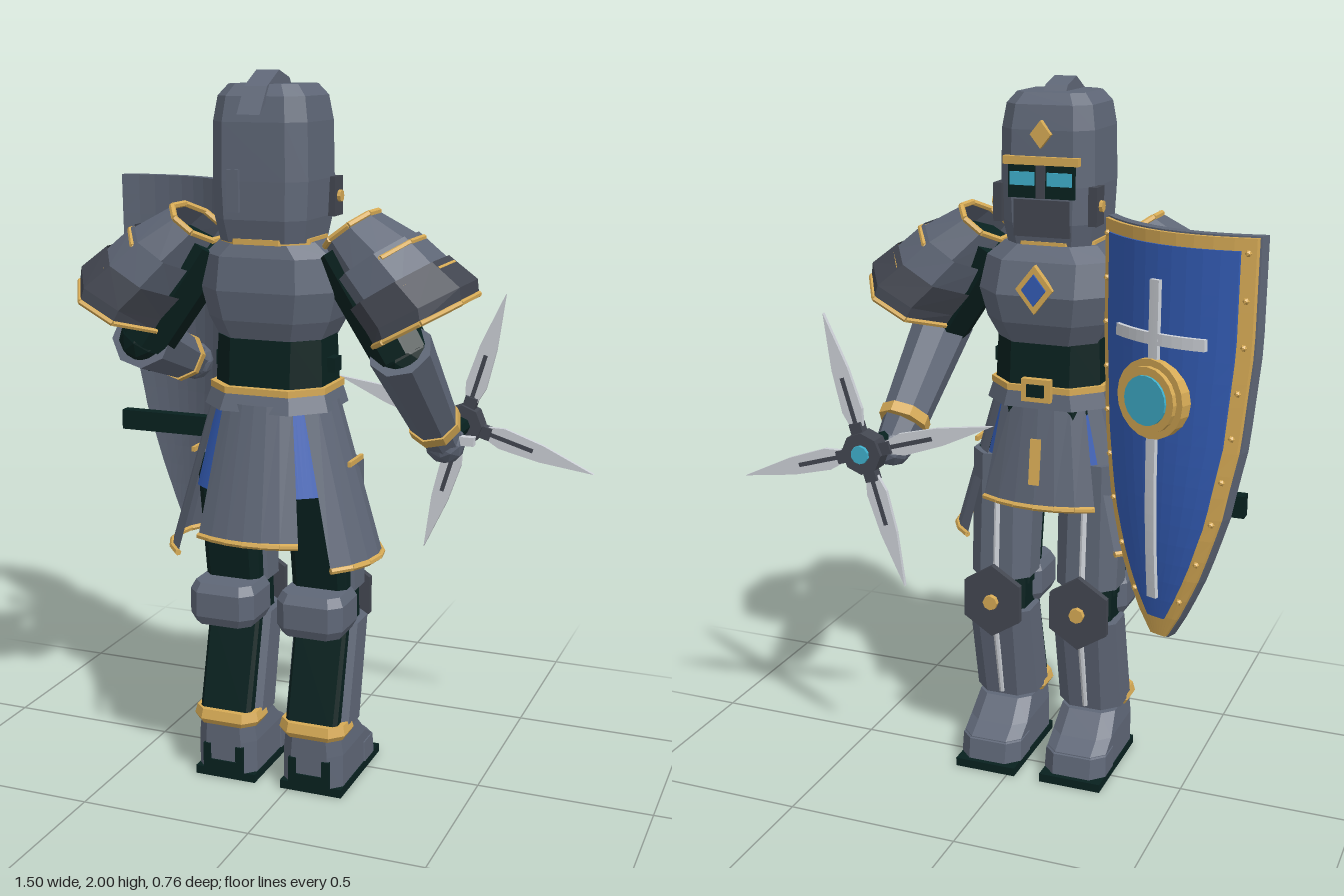
import * as THREE from 'three';

const mat = (name, color) => {
  const m = new THREE.MeshStandardMaterial({ color, side: THREE.DoubleSide });
  m.name = name; m.flatShading = true;
  return m;
};
const V = (x, y, z) => new THREE.Vector3(x, y, z);

export function createModel() {
  const steel = mat('steel', 0x5f6777), darkSteel = mat('darkSteel', 0x434751), cloth = mat('darkCloth', 0x08211f);
  const gold = mat('gold', 0xd6aa55), blue = mat('blue', 0x335cb5), teal = mat('teal', 0x3fb0cc), silver = mat('silver', 0xcdd1d7);
  const model = new THREE.Group();
  const body = new THREE.Group();
  body.name = 'body';
  body.position.x = -0.0625;
  model.add(body);

  const add = (parent, name, geo, m, x = 0, y = 0, z = 0) => {
    const mesh = new THREE.Mesh(geo, m);
    mesh.name = name;
    mesh.position.set(x, y, z);
    parent.add(mesh);
    return mesh;
  };
  const box = (p, name, m, w, h, d, x, y, z) => add(p, name, new THREE.BoxGeometry(w, h, d), m, x, y, z);
  const build = (tris) => {
    const g = new THREE.BufferGeometry().setFromPoints(tris);
    g.computeVertexNormals();
    return g;
  };
  // chamfered-rectangle rings [y, zCentre, width, depth] stacked upwards
  const loft = (sections, ch = 0.25) => {
    const rings = sections.map(([y, z, w, d]) => {
      const a = w / 2, b = d / 2, c = ch * Math.min(w, d);
      return [[a, c - b], [a, b - c], [a - c, b], [c - a, b], [-a, b - c], [-a, c - b], [c - a, -b], [a - c, -b]]
        .map(([px, pz]) => V(px, y, z + pz));
    });
    const t = [];
    for (let i = 0; i < rings.length - 1; i++) for (let j = 0; j < 8; j++) {
      const k = (j + 1) % 8, lo = rings[i], hi = rings[i + 1];
      t.push(lo[j], hi[j], hi[k], lo[j], hi[k], lo[k]);
    }
    const top = rings[rings.length - 1], bot = rings[0];
    for (let j = 1; j < 7; j++) t.push(top[0], top[j + 1], top[j], bot[0], bot[j], bot[j + 1]);
    return build(t);
  };
  // open sheet between successive rows of points
  const sheet = (...rows) => {
    const t = [];
    for (let i = 0; i < rows.length - 1; i++) for (let j = 0; j < rows[i].length - 1; j++) {
      const a = rows[i], b = rows[i + 1];
      t.push(a[j], b[j], b[j + 1], a[j], b[j + 1], a[j + 1]);
    }
    return build(t);
  };
  const limb = (p, name, m, a, b, r1, r2, sides = 8) => {
    const mesh = add(p, name, new THREE.CylinderGeometry(r2, r1, a.distanceTo(b), sides), m);
    mesh.position.copy(a).lerp(b, 0.5);
    mesh.quaternion.setFromUnitVectors(V(0, 1, 0), b.clone().sub(a).normalize());
    return mesh;
  };
  // gold edging in straight pieces
  const trim = (p, name, pts, r = 0.009) => {
    for (let i = 1; i < pts.length; i++) limb(p, name, gold, pts[i - 1], pts[i], r, r, 6);
  };
  const disc = (p, name, m, r, h, x, y, z, n = 16) => {
    const d = add(p, name, new THREE.CylinderGeometry(r, r, h, n), m, x, y, z);
    d.rotation.x = Math.PI / 2;
    return d;
  };
  const diamond = (p, name, m, s, d, y, z) => {
    const g = new THREE.BoxGeometry(s, s, d).rotateZ(Math.PI / 4).scale(0.8, 1, 1);
    return add(p, name, g, m, 0, y, z);
  };

  // helmet
  add(body, 'helmet', loft([[1.56, 0.14, 0.24, 0.25], [1.62, 0.14, 0.26, 0.28], [1.72, 0.14, 0.27, 0.285],
    [1.87, 0.14, 0.265, 0.28], [1.935, 0.14, 0.245, 0.255], [1.965, 0.14, 0.195, 0.21]], 0.17), steel);
  const crest = new THREE.Shape([[0.31, 1.89], [0.26, 1.96], [0.18, 2], [0.11, 1.98], [0.09, 1.955], [0.24, 1.94]].map(([x, y]) => new THREE.Vector2(x, y)));
  add(body, 'crest', new THREE.ExtrudeGeometry(crest, { depth: 0.064, bevelEnabled: false }).rotateY(-Math.PI / 2), steel, 0.032);
  box(body, 'visor', cloth, 0.19, 0.09, 0.01, 0, 1.735, -0.003);
  box(body, 'jawPlate', darkSteel, 0.16, 0.1, 0.02, 0, 1.635, 0.006);
  box(body, 'brow', gold, 0.215, 0.022, 0.022, 0, 1.79, -0.005);
  diamond(body, 'foreheadGem', gold, 0.052, 0.022, 1.86, -0.005);
  box(body, 'noseGuard', darkSteel, 0.025, 0.09, 0.02, 0, 1.735, -0.004);
  for (const s of [-1, 1]) {
    box(body, 'eye', teal, 0.07, 0.036, 0.008, s * 0.053, 1.742, -0.009);
    box(body, 'earPlate', darkSteel, 0.025, 0.105, 0.06, s * 0.137, 1.67, 0.05);
    disc(body, 'earStud', gold, 0.016, 0.014, s * 0.152, 1.67, 0.05, 8).rotation.set(0, 0, Math.PI / 2);
  }
  box(body, 'helmetBackPlate', steel, 0.035, 0.11, 0.014, -0.055, 1.695, 0.287);

  // torso, waist and belt
  add(body, 'cuirass', loft([[1.29, 0.115, 0.29, 0.25], [1.35, 0.112, 0.35, 0.3], [1.43, 0.11, 0.39, 0.33],
    [1.52, 0.12, 0.36, 0.29], [1.56, 0.13, 0.27, 0.24]]), steel);
  add(body, 'collar', loft([[1.555, 0.14, 0.255, 0.26], [1.57, 0.14, 0.255, 0.26]]), gold);
  add(body, 'waist', loft([[1.17, 0.12, 0.31, 0.27], [1.3, 0.12, 0.3, 0.25]]), cloth);
  add(body, 'beltRim', loft([[1.155, 0.125, 0.335, 0.3], [1.173, 0.125, 0.335, 0.3]]), gold);
  add(body, 'belt', loft([[1.11, 0.13, 0.36, 0.32], [1.155, 0.125, 0.33, 0.295]]), steel);
  for (const s of [-1, 1]) box(body, 'waistBuckle', cloth, 0.03, 0.04, 0.05, s * 0.16, 1.225, 0.12);
  box(body, 'buckle', gold, 0.085, 0.065, 0.02, 0, 1.165, -0.034);
  box(body, 'buckleInset', cloth, 0.05, 0.035, 0.008, 0, 1.165, -0.046);
  diamond(body, 'chestEmblemRim', gold, 0.095, 0.02, 1.45, -0.05);
  diamond(body, 'chestEmblem', blue, 0.062, 0.008, 1.45, -0.062);

  // flared skirt panels around the hips
  const hip = (deg, t, k = 1) => {
    const a = THREE.MathUtils.degToRad(deg), sn = Math.sin(a);
    const rz = 0.155 + t * (sn > 0 ? 0.1 : 0.055);
    return V(k * (0.178 + 0.125 * t) * Math.cos(a), 1.13 - 0.43 * t, 0.135 + k * rz * sn);
  };
  const arc = (mid, half, t, k) => Array.from({ length: 7 }, (_, i) => hip(mid + half * (i / 3 - 1), t, k));
  const panel = (name, m, mid, half, t0, t1, k, trimmed) => {
    add(body, name, sheet(arc(mid, half * 1.1, t0, k), arc(mid, half, t1, k)), m);
    if (trimmed) trim(body, name + 'Trim', arc(mid, half, t1, k));
  };
  panel('backTasset', steel, 90, 31, 0, 0.84, 1, true);
  panel('frontTasset', steel, -90, 39, 0, 0.7, 1, true);
  for (const side of [0, 180]) panel('sideTasset', steel, side, 42, 0, 1, 1, true);
  for (const a of [49, 131, 229, 311]) {
    panel('blueSash', blue, a, 10, 0.05, 0.56, 0.95);
    panel('sashLining', cloth, a, 17, 0, 0.42, 0.91);
  }
  add(body, 'hips', loft([[0.88, 0.12, 0.36, 0.2], [1.13, 0.125, 0.31, 0.27]]), cloth);
  box(body, 'skirtOrnament', gold, 0.03, 0.13, 0.008, 0, 0.96, -0.049).rotation.x = 0.127;
  for (const s of [-1, 1]) box(body, 'tassetMark', gold, 0.01, 0.014, 0.1, s * 0.232, 0.965, 0.135);

  // legs
  for (const s of [-1, 1]) {
    const leg = new THREE.Group();
    leg.name = s > 0 ? 'leftLeg' : 'rightLeg';
    leg.position.x = s * 0.132;
    body.add(leg);
    add(leg, 'thigh', loft([[0.55, 0.095, 0.16, 0.13], [0.95, 0.13, 0.175, 0.165]], 0.15), cloth);
    add(leg, 'thighPlate', loft([[0.58, 0.065, 0.18, 0.16], [0.95, 0.1, 0.19, 0.19]]), steel);
    add(leg, 'kneeJoint', loft([[0.44, 0.06, 0.15, 0.15], [0.62, 0.07, 0.15, 0.15]]), cloth);
    add(leg, 'kneeGuardBack', loft([[0.475, 0.165, 0.17, 0.16], [0.5, 0.165, 0.195, 0.18], [0.57, 0.165, 0.195, 0.18], [0.595, 0.165, 0.17, 0.15]], 0.18), steel);
    const cap = disc(leg, 'kneePlate', darkSteel, 0.11, 0.02, 0, 0.52, -0.04, 6);
    cap.scale.x = 0.9;
    disc(leg, 'kneeStud', gold, 0.022, 0.022, 0, 0.52, -0.055, 8);
    add(leg, 'calf', loft([[0.19, 0.17, 0.155, 0.11], [0.48, 0.1, 0.155, 0.09]], 0.1), cloth);
    add(leg, 'shinPlate', loft([[0.19, 0.122, 0.19, 0.185], [0.48, 0.053, 0.19, 0.165]]), steel);
    // bright ridges on the leg plates
    limb(leg, 'shinRidge', silver, V(0, 0.2, 0.03), V(0, 0.47, -0.03), 0.009, 0.009);
    limb(leg, 'thighRidge', silver, V(0, 0.6, -0.016), V(0, 0.93, 0.004), 0.009, 0.009);
    add(leg, 'ankleBand', loft([[0.17, 0.17, 0.18, 0.13], [0.185, 0.17, 0.198, 0.145], [0.212, 0.17, 0.185, 0.13]]), gold);
    add(leg, 'boot', loft([[0.025, 0.07, 0.18, 0.32], [0.09, 0.075, 0.18, 0.31], [0.12, 0.1, 0.18, 0.26], [0.18, 0.13, 0.165, 0.2]], 0.2), steel);
    add(leg, 'toeCap', loft([[0.025, -0.02, 0.188, 0.15], [0.085, -0.015, 0.184, 0.14], [0.105, 0.005, 0.15, 0.1]]), steel);
    box(leg, 'heelPlate', cloth, 0.12, 0.035, 0.012, 0, 0.042, 0.229);
    for (const side of [-1, 1]) box(leg, 'heelStrap', cloth, 0.022, 0.085, 0.012, side * 0.05, 0.065, 0.229);
    box(leg, 'sole', cloth, 0.185, 0.025, 0.33, 0, 0.0125, 0.055);
  }

  // layered shoulder guards and arms
  const rim = (s, cx, cy, h, zh, tilt) => Array.from({ length: 8 }, (_, i) => {
    const a = THREE.MathUtils.degToRad(-157.5 + 45 * i), r = h * Math.cos(a);
    return V(s * (cx + r * Math.cos(tilt)), cy + r * Math.sin(tilt), 0.145 + zh * Math.sin(a));
  });
  for (const s of [-1, 1]) {
    const lames = [
      [steel, [0.222, 1.595, 0.08, 0.105, 0.64], [0.315, 1.515, 0.112, 0.155, 0.6]],
      [steel, [0.295, 1.525, 0.12, 0.16, 0.6], [0.375, 1.445, 0.132, 0.188, 0.55]],
      [darkSteel, [0.355, 1.46, 0.14, 0.195, 0.55], [0.418, 1.4, 0.153, 0.22, 0.5], [0.43, 1.365, 0.143, 0.226, 0.5]]];
    lames.forEach(([m, ...rings], i) => {
      const rows = rings.map((r) => rim(s, ...r));
      add(body, 'shoulderLame', sheet(...rows), m);
      if (i === 0) trim(body, 'shoulderNeckTrim', [...rows[0], rows[0][0]]);
      trim(body, 'shoulderTrim', rows[rows.length - 1], 0.008);
    });
    const elbow = V(s * 0.378, 1.265, 0.17);
    const wrist = s > 0 ? V(0.4, 1.04, -0.05) : V(-0.4, 1.17, -0.09);
    const hand = s > 0 ? V(0.415, 0.975, -0.1) : V(-0.4, 1.14, -0.18);
    const along = (t) => elbow.clone().lerp(wrist, t);
    limb(body, 'upperArm', cloth, V(s * 0.2, 1.54, 0.14), elbow, 0.09, 0.08);
    add(body, 'elbow', new THREE.IcosahedronGeometry(0.076, 1), cloth).position.copy(elbow);
    limb(body, 'forearm', steel, along(-0.12), wrist, 0.088, 0.068);
    limb(body, 'cuff', gold, along(0.93), along(1.03), 0.075, 0.075);
    limb(body, 'gauntlet', steel, along(1.02), hand, 0.062, 0.052);
    add(body, 'fist', new THREE.IcosahedronGeometry(0.058, 1), steel).position.copy(hand);
  }

  // four-bladed throwing weapon in the left hand
  const star = new THREE.Group();
  star.name = 'bladedStar';
  star.position.set(0.365, 1, -0.245);
  model.add(star);
  const blade = new THREE.Shape([[0.05, 0.012], [0.12, 0.031], [0.24, 0.025], [0.4, 0], [0.24, -0.025], [0.12, -0.031], [0.05, -0.012]].map(([x, y]) => new THREE.Vector2(x, y)));
  for (let i = 0; i < 4; i++) {
    const arm = new THREE.Group();
    arm.name = 'bladeArm';
    arm.rotation.z = -0.29 + i * Math.PI / 2;
    star.add(arm);
    add(arm, 'blade', new THREE.ExtrudeGeometry(blade, { depth: 0.012, bevelEnabled: false }), silver, 0, 0, -0.006);
    box(arm, 'bladeGroove', darkSteel, 0.15, 0.012, 0.018, 0.14, 0, 0);
    box(arm, 'bladeSocket', darkSteel, 0.05, 0.036, 0.03, 0.06, 0, 0);
  }
  disc(star, 'hub', darkSteel, 0.06, 0.055, 0, 0, 0, 8);
  disc(star, 'hubGem', teal, 0.026, 0.014, 0, 0, -0.031, 10);
  disc(star, 'grip', cloth, 0.026, 0.17, 0, 0, 0.1, 8);
  box(star, 'gripPin', silver, 0.09, 0.025, 0.025, 0.03, -0.01, 0.155);

  // curved shield on the right arm, its point swept back
  const shield = new THREE.Group();
  shield.name = 'shield';
  shield.position.set(-0.525, 0, -0.21);
  shield.rotation.y = Math.atan2(0.37, -0.93);
  model.add(shield);
  const outline = [[0.6, 0.025], [0.68, 0.075], [0.8, 0.13], [0.95, 0.178], [1.15, 0.215], [1.4, 0.235], [1.68, 0.237]];
  const halfWidth = (y) => {
    const i = Math.max(1, outline.findIndex((o) => o[0] >= y - 1e-6));
    const [a, b] = [outline[i - 1], outline[i]];
    return a[1] + (b[1] - a[1]) * (y - a[0]) / (b[0] - a[0]);
  };
  const bulge = (x, y) => 0.077 * (1 - (x / 0.237) ** 2) - 0.14 * Math.max(0, 1.1 - y) ** 2;
  const slab = (name, m, width, y0, y1, z0, t) => {
    const g = new THREE.BoxGeometry(2, 1, 1, 10, 18, 1), p = g.attributes.position;
    for (let i = 0; i < p.count; i++) {
      const y = y0 + (y1 - y0) * (p.getY(i) + 0.5), x = p.getX(i) * width(y);
      p.setXYZ(i, x, y, bulge(x, y) + z0 + t * (p.getZ(i) + 0.5));
    }
    g.computeVertexNormals();
    add(shield, name, g, m);
  };
  slab('shieldBack', steel, halfWidth, 0.6, 1.68, -0.01, 0.03);
  slab('shieldRim', gold, (y) => halfWidth(y) - 0.004, 0.605, 1.676, 0.02, 0.012);
  slab('shieldFace', blue, (y) => Math.max(0.008, halfWidth(y) - 0.036), 0.66, 1.645, 0.03, 0.008);
  slab('crossUpright', silver, () => 0.014, 0.72, 1.56, 0.036, 0.014);
  slab('crossBar', silver, () => 0.138, 1.397, 1.427, 0.036, 0.014);
  disc(shield, 'shieldBoss', gold, 0.103, 0.045, 0, 1.26, 0.112, 20);
  disc(shield, 'bossRing', gold, 0.085, 0.02, 0, 1.26, 0.138, 20);
  disc(shield, 'bossGem', teal, 0.064, 0.012, 0, 1.26, 0.149, 20);
  for (const s of [-1, 1]) for (let y = 0.72; y < 1.66; y += 0.115) {
    const x = s * (halfWidth(y) - 0.02);
    add(shield, 'rivet', new THREE.IcosahedronGeometry(0.009, 0), gold, x, y, bulge(x, y) + 0.034);
  }
  // straps behind the shield
  for (const y of [1.37, 0.947]) box(model, 'shieldStrap', cloth, 0.29, 0.06, 0.035, -0.545, y, -0.155);
  box(model, 'shieldHandle', cloth, 0.035, 0.05, 0.17, -0.545, 1.145, -0.155);
  return model;
}
